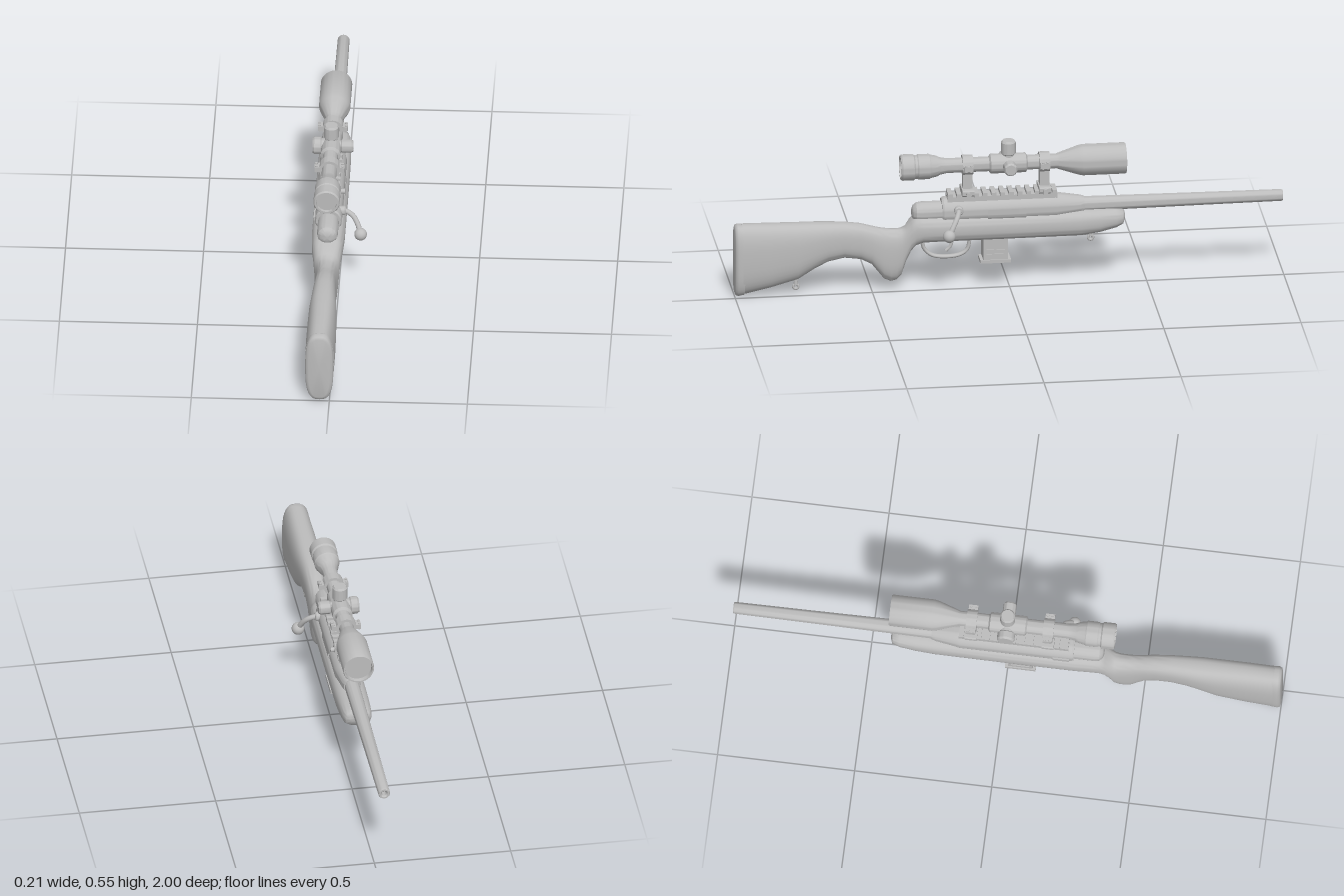
import * as THREE from 'three';
import { toCreasedNormals } from 'three/addons/utils/BufferGeometryUtils.js';

const grey = new THREE.MeshStandardMaterial({ color: 0xbcbcbc });
grey.name = 'plain grey';

const BORE_Y = 0.294, SCOPE_Y = 0.464;

export function createModel() {
  const root = new THREE.Group();
  root.name = 'rifle';
  const body = new THREE.Group();
  body.name = 'rifleBody';
  body.position.x = -0.037;
  root.add(body);

  const add = (name, geo, x = 0, y = 0, z = 0) => {
    const m = new THREE.Mesh(geo, grey);
    m.name = name;
    m.position.set(x, y, z);
    body.add(m);
    return m;
  };
  const box = (name, w, h, d, x, y, z) => add(name, new THREE.BoxGeometry(w, h, d), x, y, z);
  // Turned part: profile of [radius, position along axis]
  const lathe = (pts, seg = 40) => toCreasedNormals(
    new THREE.LatheGeometry(pts.map(p => new THREE.Vector2(p[0], p[1])), seg), 0.5);
  const turnedZ = (name, y, pts) => add(name, lathe(pts).rotateX(Math.PI / 2), 0, y, 0);
  const tube = (name, pts, r, seg = 32) => add(name, new THREE.TubeGeometry(
    new THREE.CatmullRomCurve3(pts.map(p => new THREE.Vector3(...p))), seg, r, 12));

  // Stock: rounded cross-sections [z, top, bottom, half width], front tip to butt
  const stations = [
    [-0.422, 0.262, 0.238, 0.03], [-0.415, 0.274, 0.218, 0.046], [-0.39, 0.279, 0.205, 0.053],
    [-0.33, 0.28, 0.19, 0.057], [-0.26, 0.28, 0.181, 0.059], [0, 0.28, 0.18, 0.06],
    [0.25, 0.28, 0.18, 0.06], [0.315, 0.28, 0.178, 0.057], [0.34, 0.278, 0.168, 0.054],
    [0.358, 0.262, 0.148, 0.05], [0.375, 0.236, 0.11, 0.046], [0.392, 0.229, 0.055, 0.043],
    [0.41, 0.228, 0.036, 0.041], [0.43, 0.229, 0.031, 0.04], [0.455, 0.232, 0.042, 0.039],
    [0.475, 0.236, 0.068, 0.038], [0.5, 0.243, 0.1, 0.038], [0.54, 0.254, 0.121, 0.039],
    [0.6, 0.262, 0.13, 0.042], [0.66, 0.265, 0.118, 0.046], [0.71, 0.267, 0.093, 0.05],
    [0.77, 0.268, 0.055, 0.052], [0.87, 0.27, 0.027, 0.053], [0.972, 0.272, 0.005, 0.052],
  ];
  add('stock', loft(stations, 2.7));
  // Butt pad, slightly inset from the stock
  add('buttPad', loft([[0.965, 0.27, 0.004, 0.05], [0.988, 0.272, 0, 0.051],
    [0.997, 0.268, 0.004, 0.047], [1, 0.258, 0.014, 0.038]], 3));

  // Receiver, barrel and bolt
  turnedZ('barrel', BORE_Y, [[0, -0.94], [0.009, -0.94], [0.009, -0.995], [0.014, -1], [0.019, -1],
    [0.0215, -0.995], [0.0235, -0.7], [0.027, -0.3], [0.027, -0.2]]);
  turnedZ('receiver', BORE_Y, [[0, -0.275], [0.03, -0.275], [0.034, -0.26], [0.046, -0.185],
    [0.049, -0.17], [0.049, 0.238], [0.045, 0.245], [0, 0.245]]);
  turnedZ('boltShroud', BORE_Y - 0.004, [[0.038, 0.24], [0.038, 0.32], [0.035, 0.337],
    [0.026, 0.348], [0.014, 0.353], [0, 0.354]]);
  const port = new THREE.CylinderGeometry(0.053, 0.053, 0.14, 16, 1, false, 0.2 * Math.PI, 0.36 * Math.PI);
  add('ejectionPortCover', toCreasedNormals(port.rotateX(Math.PI / 2), 0.5), 0, BORE_Y, 0.01);
  box('boltRelease', 0.014, 0.016, 0.06, -0.047, BORE_Y, 0.2);
  const collar = add('boltHandleRoot', lathe([[0, 0], [0.017, 0], [0.017, 0.022], [0.013, 0.026], [0, 0.026]], 24),
    0.035, 0.306, 0.187);
  collar.rotation.z = -Math.PI / 2;
  tube('boltHandle', [[0.035, 0.306, 0.187], [0.063, 0.304, 0.189], [0.088, 0.29, 0.198],
    [0.105, 0.265, 0.213], [0.115, 0.236, 0.228]], 0.0095);
  add('boltKnob', new THREE.SphereGeometry(0.023, 28, 20), 0.116, 0.233, 0.23);

  // Toothed sight rail
  box('railBase', 0.06, 0.03, 0.4, 0, 0.336, 0.025);
  for (let i = 0; i < 13; i++) box('railTooth', 0.07, 0.016, 0.017, 0, 0.356, 0.215 - i * 0.0317);

  // Scope body with recessed glass at both ends
  turnedZ('scopeTube', SCOPE_Y, [
    [0, -0.412], [0.048, -0.412], [0.05, -0.427], [0.055, -0.427], [0.057, -0.422], [0.057, -0.27],
    [0.053, -0.252], [0.031, -0.185], [0.027, -0.175], [0.027, -0.068], [0.036, -0.062], [0.036, 0.066],
    [0.027, 0.072], [0.027, 0.225], [0.032, 0.25], [0.038, 0.262], [0.043, 0.285], [0.046, 0.289],
    [0.046, 0.33], [0.043, 0.334], [0.043, 0.342], [0.048, 0.347], [0.048, 0.388], [0.044, 0.394],
    [0.037, 0.394], [0.036, 0.384], [0, 0.384]]);

  // Adjustment turrets: above, left and right of the tube
  const turret = (name, r, len, rotZ) => {
    const m = add(name, lathe([[0, 0], [r * 0.85, 0], [r * 0.85, 0.035], [r, 0.039],
      [r, len - 0.007], [r - 0.005, len], [0, len]], 32), 0, SCOPE_Y, 0);
    m.rotation.z = rotZ;
  };
  turret('elevationTurret', 0.027, 0.088, 0);
  turret('windageTurret', 0.024, 0.08, -Math.PI / 2);
  turret('focusTurret', 0.032, 0.068, Math.PI / 2);

  // Scope mounts
  for (const z of [0.15, -0.13]) {
    turnedZ('scopeRing', SCOPE_Y, [[0.02, z - 0.019], [0.037, z - 0.019], [0.037, z + 0.019], [0.02, z + 0.019]]);
    box('ringPost', 0.04, 0.075, 0.034, 0, 0.405, z);
    // Clamp with chamfered sides
    const s = new THREE.Shape([[-0.042, 0.359], [-0.036, 0.353], [0.036, 0.353], [0.042, 0.359],
      [0.042, 0.373], [0.038, 0.378], [-0.038, 0.378], [-0.042, 0.373]].map(p => new THREE.Vector2(...p)));
    add('mountClamp', new THREE.ExtrudeGeometry(s, { depth: 0.044, bevelEnabled: false }), 0, 0, z - 0.022);
    const screw = add('clampScrew', new THREE.CylinderGeometry(0.009, 0.009, 0.018, 16), 0.047, 0.365, z);
    screw.rotation.z = Math.PI / 2;
    for (const side of [-1, 1]) {
      box('ringEar', 0.02, 0.018, 0.034, side * 0.044, SCOPE_Y, z);
      for (const dz of [-0.009, 0.009])
        add('ringScrew', new THREE.CylinderGeometry(0.005, 0.005, 0.026, 12), side * 0.048, SCOPE_Y, z + dz);
    }
  }

  // Trigger and guard
  tube('triggerGuard', [[0, 0.185, 0.315], [0, 0.15, 0.308], [0, 0.123, 0.28], [0, 0.114, 0.23],
    [0, 0.121, 0.175], [0, 0.14, 0.15], [0, 0.185, 0.14]], 0.007, 40).scale.x = 1.6;
  tube('trigger', [[0, 0.19, 0.205], [0, 0.165, 0.207], [0, 0.148, 0.215], [0, 0.136, 0.228]], 0.006, 16);

  // Magazine
  box('magazine', 0.06, 0.1, 0.09, 0, 0.15, 0.05);
  box('magazineBase', 0.07, 0.012, 0.112, 0, 0.098, 0.05);
  for (const side of [-1, 1])
    for (const y of [0.123, 0.14]) box('magazineRib', 0.006, 0.007, 0.066, side * 0.031, y, 0.05);

  // Sling swivels
  for (const [y, z] of [[0.185, -0.3], [0.045, 0.775]]) {
    add('swivelStud', new THREE.CylinderGeometry(0.006, 0.008, 0.03, 14), 0, y, z);
    add('swivelLoop', new THREE.TorusGeometry(0.009, 0.005, 10, 20).rotateY(Math.PI / 2), 0, y - 0.022, z);
  }
  return root;
}

// Skin over rounded sections [z, top, bottom, half width], closed at both ends
function loft(rows, power, seg = 36) {
  const pos = [], idx = [];
  const soft = v => Math.sign(v) * Math.abs(v) ** (2 / power);
  for (const [z, top, bottom, w] of rows)
    for (let i = 0; i < seg; i++) {
      const a = i / seg * Math.PI * 2;
      pos.push(w * soft(Math.cos(a)), (top + bottom) / 2 + (top - bottom) / 2 * soft(Math.sin(a)), z);
    }
  for (let r = 0; r < rows.length - 1; r++)
    for (let i = 0; i < seg; i++) {
      const a = r * seg + i, b = r * seg + (i + 1) % seg;
      idx.push(a, b, b + seg, a, b + seg, a + seg);
    }
  const first = rows[0], last = rows[rows.length - 1], c = pos.length / 3, end = (rows.length - 1) * seg;
  for (const s of [first, last]) pos.push(0, (s[1] + s[2]) / 2, s[0]);
  for (let i = 0; i < seg; i++) {
    const j = (i + 1) % seg;
    idx.push(c, j, i, c + 1, end + i, end + j);
  }
  const g = new THREE.BufferGeometry();
  g.setAttribute('position', new THREE.Float32BufferAttribute(pos, 3));
  g.setIndex(idx);
  return toCreasedNormals(g, 0.9);
}
